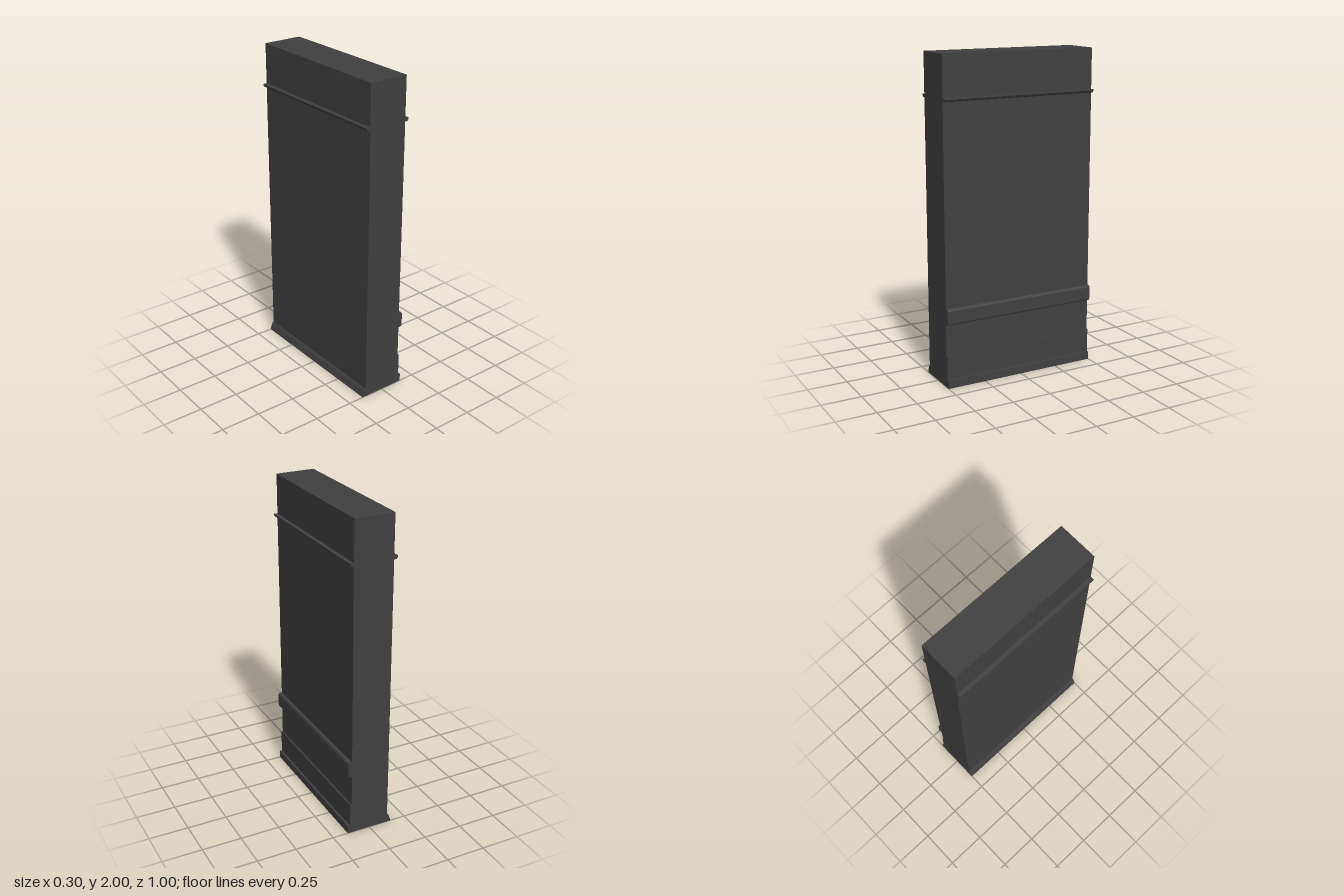
import * as THREE from 'three';

const DEPTH = 1;
const FACE = 0.125; // half thickness of the wall

export function createModel() {
  const group = new THREE.Group();
  const material = new THREE.MeshStandardMaterial({ color: 0x404040, flatShading: true });

  // Runs an outline of [projection from wall face, height] along the wall
  function addTrim(name, side, outline) {
    const points = outline.map(([out, y]) => new THREE.Vector2(side * (FACE + out), y));
    const geometry = new THREE.ExtrudeGeometry(new THREE.Shape(points), {
      depth: DEPTH, bevelEnabled: false,
    });
    geometry.translate(0, 0, -DEPTH / 2);
    const mesh = new THREE.Mesh(geometry, material);
    mesh.name = name;
    group.add(mesh);
  }

  // Wall slab
  const wall = new THREE.Mesh(new THREE.BoxGeometry(FACE * 2, 2, DEPTH), material);
  wall.name = 'wall';
  wall.position.y = 1;
  group.add(wall);

  // Thin picture rail on both faces
  for (const [side, name] of [[1, 'leftPictureRail'], [-1, 'rightPictureRail']]) {
    addTrim(name, side, [
      [0, 1.73], [0.014, 1.73], [0.02, 1.735], [0.025, 1.744], [0.025, 1.75], [0, 1.75],
    ]);
  }

  // Chair rail with softened edges
  addTrim('chairRail', 1, [
    [0, 0.4], [0.016, 0.4], [0.022, 0.404], [0.025, 0.412],
    [0.025, 0.488], [0.022, 0.496], [0.016, 0.5], [0, 0.5],
  ]);

  // Tall baseboard and the shoe strip in front of it
  addTrim('baseboard', 1, [[0, 0], [0.01, 0], [0.01, 0.2], [0, 0.2]]);
  addTrim('baseShoe', 1, [[0.01, 0], [0.025, 0], [0.025, 0.05], [0.01, 0.05]]);

  // Sloped skirting on the other face
  addTrim('skirting', -1, [
    [0, 0], [0.025, 0], [0.023, 0.01], [0.013, 0.04], [0.007, 0.05], [0, 0.05],
  ]);

  return group;
}
